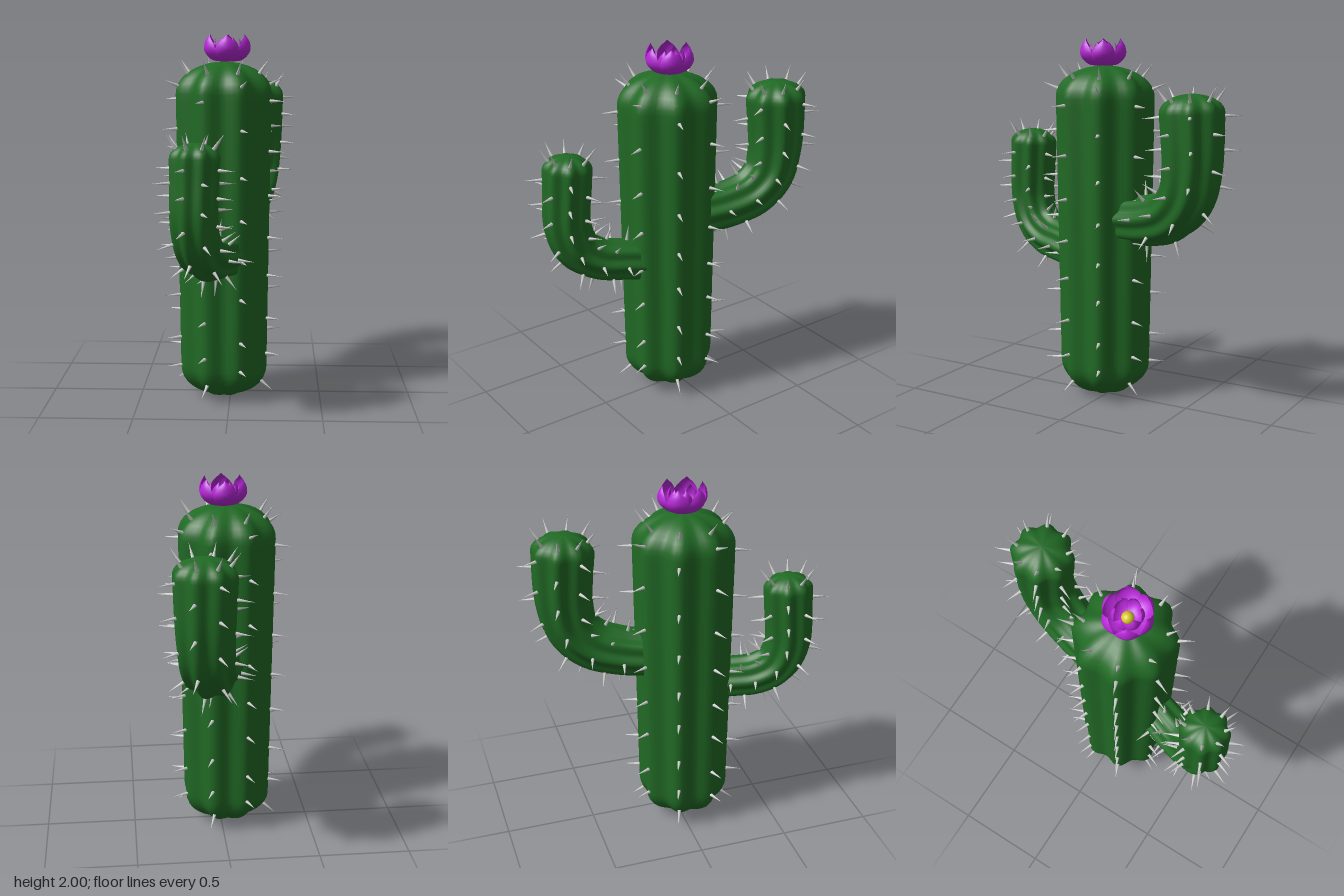
import * as THREE from 'three';
import { mergeGeometries } from 'three/addons/utils/BufferGeometryUtils.js';
import { ParametricGeometry } from 'three/addons/geometries/ParametricGeometry.js';

const RIBS = 8;
const SIDES = 64;
const UP = new THREE.Vector3(0, 1, 0);
const green = new THREE.MeshStandardMaterial({ color: 0x216a25 });
const grey = new THREE.MeshStandardMaterial({ color: 0xcccccc });
const purple = new THREE.MeshStandardMaterial({ color: 0xb828d8, side: THREE.DoubleSide });
const yellow = new THREE.MeshStandardMaterial({ color: 0xd8c828 });

function mesh(name, geometry, material) {
  const m = new THREE.Mesh(geometry, material);
  m.name = name;
  return m;
}

// Ribbed stem along a curve lying in the upright plane of heading `delta`,
// with rounded caps. The ribs keep the same compass directions on every stem.
function makeStem({ curve, delta, r0, r1, capStart, capEnd }) {
  const L = curve.getLength();
  const d = new THREE.Vector3(Math.cos(delta), 0, Math.sin(delta));
  const side = new THREE.Vector3(Math.sin(delta), 0, -Math.cos(delta));
  const turn = delta - Math.PI / 2;

  const radius = (s) => {
    let r = THREE.MathUtils.lerp(r0, r1, s / L);
    if (s < capStart) r *= Math.sqrt(Math.max(0, 1 - (1 - s / capStart) ** 2));
    if (s > L - capEnd) r *= Math.sqrt(Math.max(0, 1 - (1 - (L - s) / capEnd) ** 2));
    return r;
  };
  const frame = (s) => {
    const u = THREE.MathUtils.clamp(s / L, 0, 1);
    const t = curve.getTangentAt(u);
    const n = d.clone().multiplyScalar(t.y).addScaledVector(UP, -t.dot(d));
    return { p: curve.getPointAt(u), t, n };
  };
  const outward = (f, a) =>
    side.clone().multiplyScalar(Math.cos(a)).addScaledVector(f.n, Math.sin(a));

  // ring positions, closer together in the caps
  const stops = [];
  const CAP = 9, MID = 36;
  if (capStart > 0) {
    for (let i = 0; i < CAP; i++) stops.push(capStart * (1 - Math.cos((i / CAP) * Math.PI / 2)));
  }
  for (let i = 0; i < MID; i++) stops.push(capStart + (L - capStart - capEnd) * i / MID);
  for (let i = 0; i <= CAP; i++) stops.push(L - capEnd + capEnd * Math.sin((i / CAP) * Math.PI / 2));

  const positions = [], index = [];
  stops.forEach((s, i) => {
    const f = frame(s), r = radius(s);
    for (let j = 0; j < SIDES; j++) {
      const a = (j / SIDES) * Math.PI * 2;
      const rib = 0.93 + 0.07 * Math.cos(RIBS * (a + turn - Math.PI / RIBS));
      const v = f.p.clone().addScaledVector(outward(f, a), r * rib);
      positions.push(v.x, v.y, v.z);
      if (i < stops.length - 1) {
        const k = (j + 1) % SIDES, lo = i * SIDES, hi = lo + SIDES;
        index.push(lo + j, hi + j, lo + k, lo + k, hi + j, hi + k);
      }
    }
  });
  const body = new THREE.BufferGeometry();
  body.setAttribute('position', new THREE.Float32BufferAttribute(positions, 3));
  body.setIndex(index);
  body.computeVertexNormals();

  // One spine standing on a rib
  const spine = (s, rib) => {
    const f = frame(s), e = 0.004;
    const a = (rib + 0.5) * Math.PI * 2 / RIBS - turn;
    const out = outward(f, a);
    const slope = (radius(s + e) - radius(s - e)) / (2 * e);
    const dir = out.clone().addScaledVector(f.t, -slope).normalize();
    const base = f.p.clone().addScaledVector(out, radius(s));
    const g = new THREE.ConeGeometry(0.011, 0.1, 7);
    g.translate(0, 0.038, 0);
    g.applyQuaternion(new THREE.Quaternion().setFromUnitVectors(UP, dir));
    return g.translate(base.x, base.y, base.z);
  };
  return { body, spine, L };
}

// Stem plus its spines: rows alternate between odd and even ribs,
// and the topmost row has a spine on every rib
function addStem(group, name, options, rows) {
  const stem = makeStem(options);
  const part = new THREE.Group();
  part.name = name;
  const spines = [];
  rows.forEach((s, i) => {
    for (let k = i % 2; k < RIBS; k += 2) spines.push(stem.spine(s, k));
  });
  for (let k = 0; k < RIBS; k++) spines.push(stem.spine(stem.L - options.capEnd * 0.35, k));
  part.add(mesh(name + 'Body', stem.body, green));
  part.add(mesh(name + 'Spines', mergeGeometries(spines), grey));
  group.add(part);
}

// Arm running from inside the trunk to its upright column; profile is
// [fraction of the way out, height]
function addArm(group, name, base, column, profile, r0, r1, cap, spacing) {
  const points = profile.map(([u, y]) => new THREE.Vector3(
    THREE.MathUtils.lerp(base[0], column[0], u), y, THREE.MathUtils.lerp(base[1], column[1], u)));
  const curve = new THREE.CatmullRomCurve3(points);
  const delta = Math.atan2(column[1] - base[1], column[0] - base[0]);
  const rows = [];
  for (let s = 0.2; s < curve.getLength() - cap; s += spacing) rows.push(s);
  addStem(group, name, { curve, delta, r0, r1, capStart: 0, capEnd: cap }, rows);
}

// Cupped petal following a [radius, height] outline
function petalGeometry(outline, width) {
  const curve = new THREE.CatmullRomCurve3(outline.map(([r, y]) => new THREE.Vector3(r, y, 0)));
  return new ParametricGeometry((u, v, target) => {
    const p = curve.getPoint(v);
    const across = u * 2 - 1;
    const half = width * (0.12 + 0.88 * Math.sin(Math.PI * v ** 0.85)) * (1 - 0.75 * v ** 6);
    target.set(p.x - 0.45 * half * across * across, p.y, -half * across);
  }, 10, 14);
}

function addFlower(group) {
  const flower = new THREE.Group();
  flower.name = 'flower';
  flower.position.set(-0.017, 1.855, 0.038);
  const layers = [
    ['outerPetal', [[0.015, 0], [0.085, 0.01], [0.131, 0.06], [0.128, 0.11], [0.108, 0.143]], 0.064, Math.PI / 6],
    ['innerPetal', [[0.01, 0.005], [0.05, 0.014], [0.08, 0.05], [0.078, 0.095], [0.06, 0.125]], 0.042, 0],
  ];
  for (const [name, outline, width, offset] of layers) {
    const geometry = petalGeometry(outline, width);
    for (let i = 0; i < 6; i++) {
      const petal = mesh(name, geometry, purple);
      petal.rotation.y = offset + i * Math.PI / 3;
      flower.add(petal);
    }
  }
  const centre = mesh('flowerCentre', new THREE.SphereGeometry(0.032, 20, 14), yellow);
  centre.position.y = 0.03;
  flower.add(centre);
  group.add(flower);
}

export function createModel() {
  const cactus = new THREE.Group();
  cactus.name = 'cactus';

  // Trunk
  addStem(cactus, 'trunk', {
    curve: new THREE.LineCurve3(new THREE.Vector3(-0.035, 0, 0.038), new THREE.Vector3(-0.035, 1.855, 0.038)),
    delta: 0, r0: 0.25, r1: 0.276, capStart: 0.18, capEnd: 0.17,
  }, [0.1, 0.19, 0.26, 0.35, 0.46, 0.59, 0.7, 0.8, 0.91, 1.02, 1.14, 1.25, 1.38, 1.5, 1.65, 1.73]);

  // Arms
  addArm(cactus, 'frontArm', [0.01, 0.13], [-0.16, 0.6],
    [[0, 0.805], [0.36, 0.83], [0.68, 0.855], [0.9, 0.925], [1.01, 1.06], [1, 1.3], [0.98, 1.468]],
    0.115, 0.136, 0.08, 0.07);
  addArm(cactus, 'backArm', [0, -0.08], [0.13, -0.57],
    [[0, 1.02], [0.45, 1.045], [0.75, 1.095], [0.95, 1.2], [1.02, 1.35], [1, 1.737]],
    0.13, 0.174, 0.1, 0.085);

  addFlower(cactus);
  return cactus;
}
